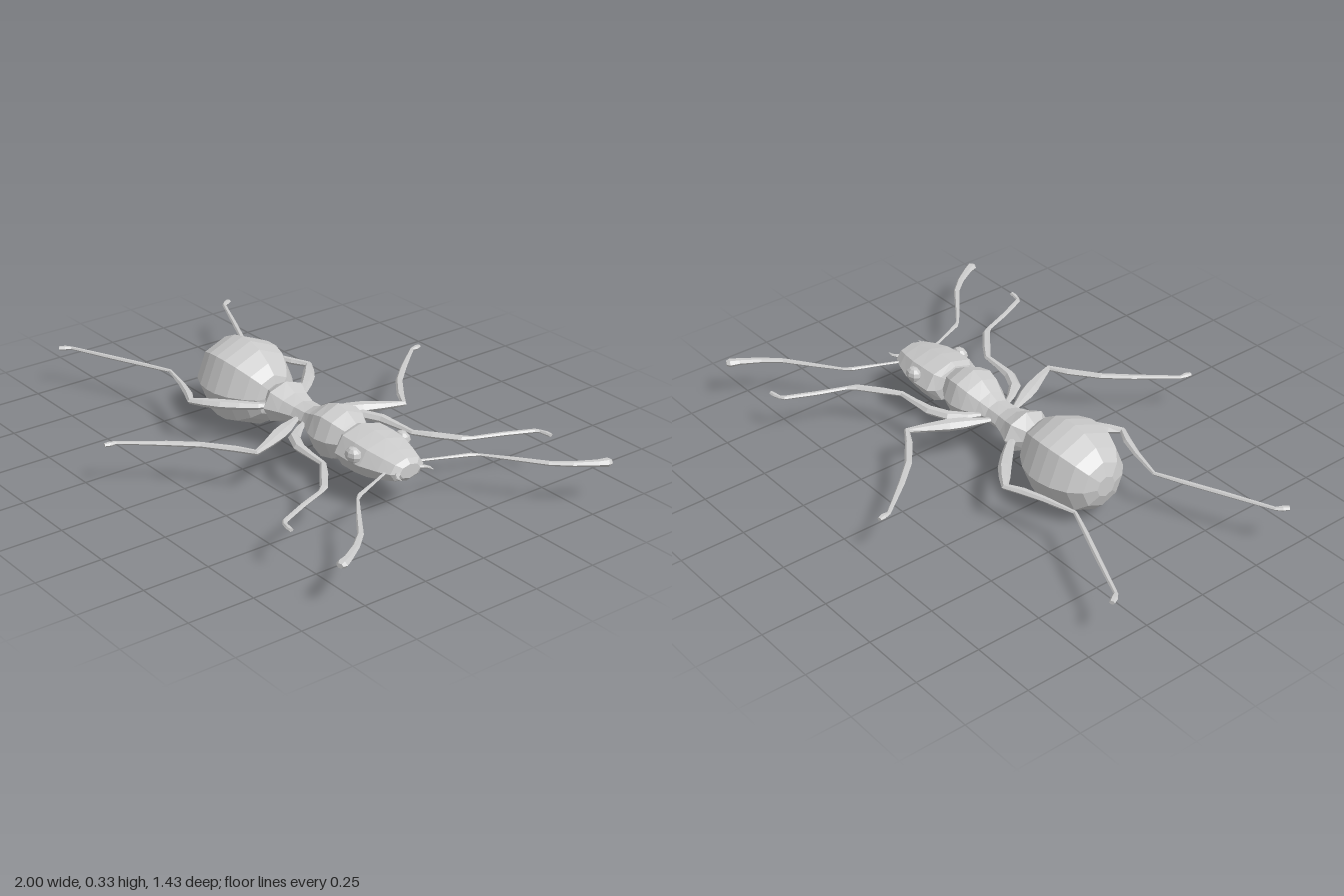
import * as THREE from 'three';

const MID = 0.173; // height of the body axis and of the flat-spread limbs
const material = new THREE.MeshStandardMaterial({ color: 0xcccccc, flatShading: true });

// Skin elliptical rings along a path; each station is { x, y, z, w, h }
// with w the half width across the path and h the half height.
function loft(name, stations, sides) {
  const pos = [], index = [], n = stations.length;
  const centre = stations.map(s => new THREE.Vector3(s.x, s.y, s.z));
  const dir = (i) => centre[i + 1].clone().sub(centre[i]).setY(0).normalize();
  stations.forEach((s, i) => {
    const t = new THREE.Vector3();
    if (i > 0) t.add(dir(i - 1));
    if (i < n - 1) t.add(dir(i));
    t.normalize();
    for (let j = 0; j < sides; j++) {
      const a = (j / sides) * Math.PI * 2, c = Math.cos(a) * s.w;
      pos.push(s.x - t.z * c, s.y + Math.sin(a) * s.h, s.z + t.x * c);
    }
  });
  for (let i = 0; i < n - 1; i++) {
    for (let j = 0; j < sides; j++) {
      const k = (j + 1) % sides, p = i * sides, q = p + sides;
      index.push(p + j, q + j, p + k, q + j, q + k, p + k);
    }
  }
  // End caps
  const first = n * sides, last = (n - 1) * sides;
  pos.push(...centre[0].toArray(), ...centre[n - 1].toArray());
  for (let j = 0; j < sides; j++) {
    const k = (j + 1) % sides;
    index.push(first, j, k, first + 1, last + k, last + j);
  }
  const geometry = new THREE.BufferGeometry();
  geometry.setAttribute('position', new THREE.Float32BufferAttribute(pos, 3));
  geometry.setIndex(index);
  geometry.computeVertexNormals();
  const mesh = new THREE.Mesh(geometry, material);
  mesh.name = name;
  return mesh;
}

// Body section from rows of [x, half width, half height, axis height]
const bodyPart = (name, rows) =>
  loft(name, rows.map(([x, w, h = w, y = MID]) => ({ x, y, z: 0, w, h })), 8);

// Limb from rows of [x, z, half width], mirrored by side
const limb = (name, rows, side, flat = 0.75, y = MID) =>
  loft(name, rows.map(([x, z, w]) => ({ x, y, z: z * side, w, h: w * flat })), 6);

const LIMBS = {
  frontLeg: [[0.11, 0.06, 0.01], [0.135, 0.1, 0.015], [0.18, 0.155, 0.022], [0.25, 0.187, 0.021],
    [0.33, 0.195, 0.015], [0.4, 0.2, 0.012], [0.46, 0.243, 0.015], [0.54, 0.305, 0.014],
    [0.56, 0.335, 0.009], [0.6, 0.44, 0.01], [0.65, 0.55, 0.01], [0.665, 0.562, 0.008],
    [0.69, 0.568, 0.01], [0.71, 0.57, 0.009]],
  middleLeg: [[0.06, 0.05, 0.01], [0.085, 0.1, 0.018], [0.105, 0.14, 0.026], [0.13, 0.19, 0.028],
    [0.165, 0.26, 0.02], [0.195, 0.33, 0.013], [0.13, 0.37, 0.014], [0.03, 0.447, 0.013],
    [-0.05, 0.535, 0.012], [-0.12, 0.62, 0.009], [-0.162, 0.672, 0.008], [-0.165, 0.695, 0.012],
    [-0.17, 0.715, 0.009]],
  hindLeg: [[-0.08, 0.06, 0.01], [-0.105, 0.1, 0.017], [-0.15, 0.15, 0.022], [-0.2, 0.2, 0.024],
    [-0.25, 0.24, 0.02], [-0.29, 0.27, 0.014], [-0.35, 0.24, 0.016], [-0.43, 0.212, 0.013],
    [-0.555, 0.18, 0.008], [-0.66, 0.225, 0.01], [-0.8, 0.288, 0.01], [-0.965, 0.36, 0.008],
    [-0.98, 0.38, 0.012], [-0.992, 0.4, 0.01]],
  antenna: [[0.57, 0.05, 0.006], [0.61, 0.14, 0.006], [0.655, 0.245, 0.009], [0.675, 0.27, 0.006],
    [0.76, 0.335, 0.009], [0.865, 0.412, 0.011], [0.92, 0.475, 0.013], [0.965, 0.545, 0.016],
    [0.98, 0.578, 0.02], [0.985, 0.59, 0.012]],
  mandible: [[0.6, 0.03, 0.012], [0.625, 0.06, 0.008], [0.64, 0.07, 0.006], [0.66, 0.07, 0.002]],
};

export function createModel() {
  const ant = new THREE.Group();
  ant.name = 'ant';

  ant.add(
    bodyPart('abdomen', [[-0.508, 0.04], [-0.49, 0.09], [-0.45, 0.13], [-0.39, 0.158], [-0.34, 0.167],
      [-0.29, 0.166], [-0.235, 0.15], [-0.18, 0.115], [-0.145, 0.08], [-0.135, 0.04]]),
    bodyPart('thorax', [[-0.15, 0.04], [-0.12, 0.055], [-0.075, 0.1, 0.08], [-0.02, 0.076, 0.055],
      [0.03, 0.06, 0.042], [0.09, 0.058, 0.043], [0.13, 0.072, 0.06], [0.18, 0.098, 0.09],
      [0.23, 0.108, 0.107], [0.28, 0.098, 0.096], [0.32, 0.072, 0.072], [0.35, 0.055, 0.055]]),
    bodyPart('head', [[0.33, 0.06, 0.045], [0.337, 0.095, 0.07], [0.36, 0.118, 0.08], [0.43, 0.12, 0.079],
      [0.49, 0.116, 0.072], [0.56, 0.094, 0.056], [0.605, 0.074, 0.043], [0.622, 0.045, 0.026]]),
  );

  for (const side of [1, -1]) {
    const label = side > 0 ? 'Near' : 'Far';
    for (const [name, rows] of Object.entries(LIMBS)) ant.add(limb(name + label, rows, side));

    // Bulging eye
    const eye = new THREE.Mesh(new THREE.SphereGeometry(0.036, 8, 6), material);
    eye.name = 'eye' + label;
    eye.scale.set(1, 0.8, 0.72);
    eye.position.set(0.45, 0.197, 0.108 * side);
    ant.add(eye);
  }
  return ant;
}
